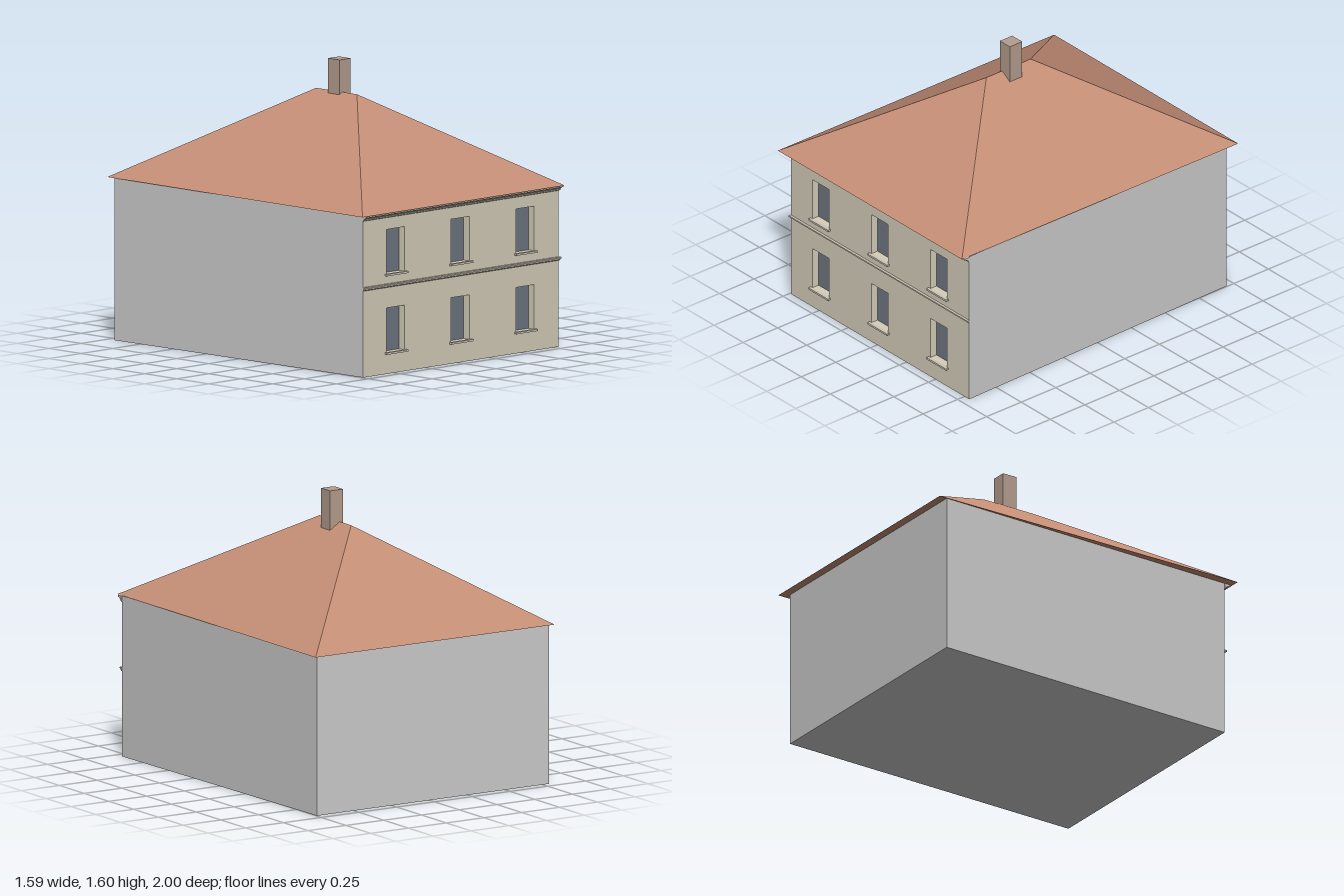
import * as THREE from 'three';

const mat = (color, side = THREE.FrontSide) =>
  new THREE.MeshStandardMaterial({ color, side, flatShading: true });

// Flat quads, each given as four corners anticlockwise from its visible side
function quads(list) {
  const pos = [];
  for (const [a, b, c, d] of list) pos.push(...a, ...b, ...c, ...a, ...c, ...d);
  const g = new THREE.BufferGeometry();
  g.setAttribute('position', new THREE.Float32BufferAttribute(pos, 3));
  g.computeVertexNormals();
  return g;
}

// Moulding: a (z outward, y) profile run along x from x0 to x1
function moulding(profile, x0, x1) {
  const shape = new THREE.Shape(profile.map(([z, y]) => new THREE.Vector2(z, y)));
  const g = new THREE.ExtrudeGeometry(shape, { depth: x1 - x0, bevelEnabled: false });
  return g.rotateY(-Math.PI / 2).translate(x1, 0, 0);
}

export function createModel() {
  const house = new THREE.Group();
  house.name = 'house';
  const add = (name, geometry, material, parent = house) => {
    const mesh = new THREE.Mesh(geometry, material);
    mesh.name = name;
    parent.add(mesh);
    return mesh;
  };

  const grey = mat(0xcccccc);
  const cream = mat(0xd4ceb9);
  const stone = mat(0xcdc5b6);
  const glass = mat(0x6f7682);
  const tile = mat(0xc48d75);
  const brick = mat(0xb59d8e);

  const eave = 0.91, F = 0.95, B = -0.95, recess = 0.045;
  // The plan is slightly skewed: the back sits further towards -x
  const fl = -0.74, fr = 0.79, bl = -0.79, br = 0.745;

  // Plain side walls, back wall and floor
  add('walls', quads([
    [[fr, 0, F], [br, 0, B], [br, eave, B], [fr, eave, F]],
    [[bl, 0, B], [fl, 0, F], [fl, eave, F], [bl, eave, B]],
    [[br, 0, B], [bl, 0, B], [bl, eave, B], [br, eave, B]],
    [[bl, 0, B], [br, 0, B], [fr, 0, F], [fl, 0, F]],
  ]), grey);

  // Front wall with window openings
  const wall = new THREE.Shape([
    new THREE.Vector2(fl, 0), new THREE.Vector2(fr, 0),
    new THREE.Vector2(fr, eave), new THREE.Vector2(fl, eave),
  ]);
  const hw = 0.071, wh = 0.25;
  for (const y0 of [0.12, 0.56]) {
    for (const cx of [-0.487, 0.02, 0.527]) {
      const x0 = cx - hw, x1 = cx + hw, y1 = y0 + wh, R = F - recess;
      wall.holes.push(new THREE.Path([
        new THREE.Vector2(x0, y0), new THREE.Vector2(x0, y1),
        new THREE.Vector2(x1, y1), new THREE.Vector2(x1, y0),
      ]));
      const win = new THREE.Group();
      win.name = 'window';
      house.add(win);
      add('reveal', quads([
        [[x0, y0, F], [x0, y0, R], [x0, y1, R], [x0, y1, F]],
        [[x1, y0, R], [x1, y0, F], [x1, y1, F], [x1, y1, R]],
        [[x0, y0, F], [x1, y0, F], [x1, y0, R], [x0, y0, R]],
        [[x0, y1, R], [x1, y1, R], [x1, y1, F], [x0, y1, F]],
      ]), cream, win);
      add('pane', quads([
        [[x0, y0, R], [x1, y0, R], [x1, y1, R], [x0, y1, R]],
      ]), glass, win);
      const sill = new THREE.BoxGeometry(0.168, 0.011, 0.02);
      add('sill', sill, stone, win).position.set(cx, y0 - 0.004, F + 0.008);
    }
  }
  add('frontWall', new THREE.ShapeGeometry(wall).translate(0, 0, F), cream);

  // Belt course between the storeys
  add('beltCourse', moulding([
    [F, 0.484], [F + 0.007, 0.49], [F + 0.007, 0.497],
    [F + 0.015, 0.497], [F + 0.015, 0.505], [F, 0.505],
  ], fl - 0.003, fr + 0.005), stone);

  // Stepped cornice under the eaves
  add('cornice', moulding([
    [F, 0.876], [F + 0.008, 0.88], [F + 0.008, 0.886], [F + 0.022, 0.897],
    [F + 0.034, 0.899], [F + 0.034, 0.909], [F, 0.909],
  ], fl - 0.003, fr + 0.005), stone);

  // Hipped roof with a flat soffit
  const l = -0.795, r = 0.787, top = 1.415, rz = 0.16;
  const c = [[l, eave, 1], [r, eave, 1], [r, eave, -1], [l, eave, -1]];
  const f = [0, top, rz], b = [0, top, -rz];
  add('roof', quads([
    [c[0], c[1], f, f],
    [c[1], c[2], b, f],
    [c[2], c[3], b, b],
    [c[3], c[0], f, b],
    [c[3], c[2], c[1], c[0]],
  ]), tile);

  // Chimney through the ridge
  add('chimney', new THREE.BoxGeometry(0.086, 0.3, 0.09), brick).position.set(0.022, 1.447, 0);

  return house;
}
